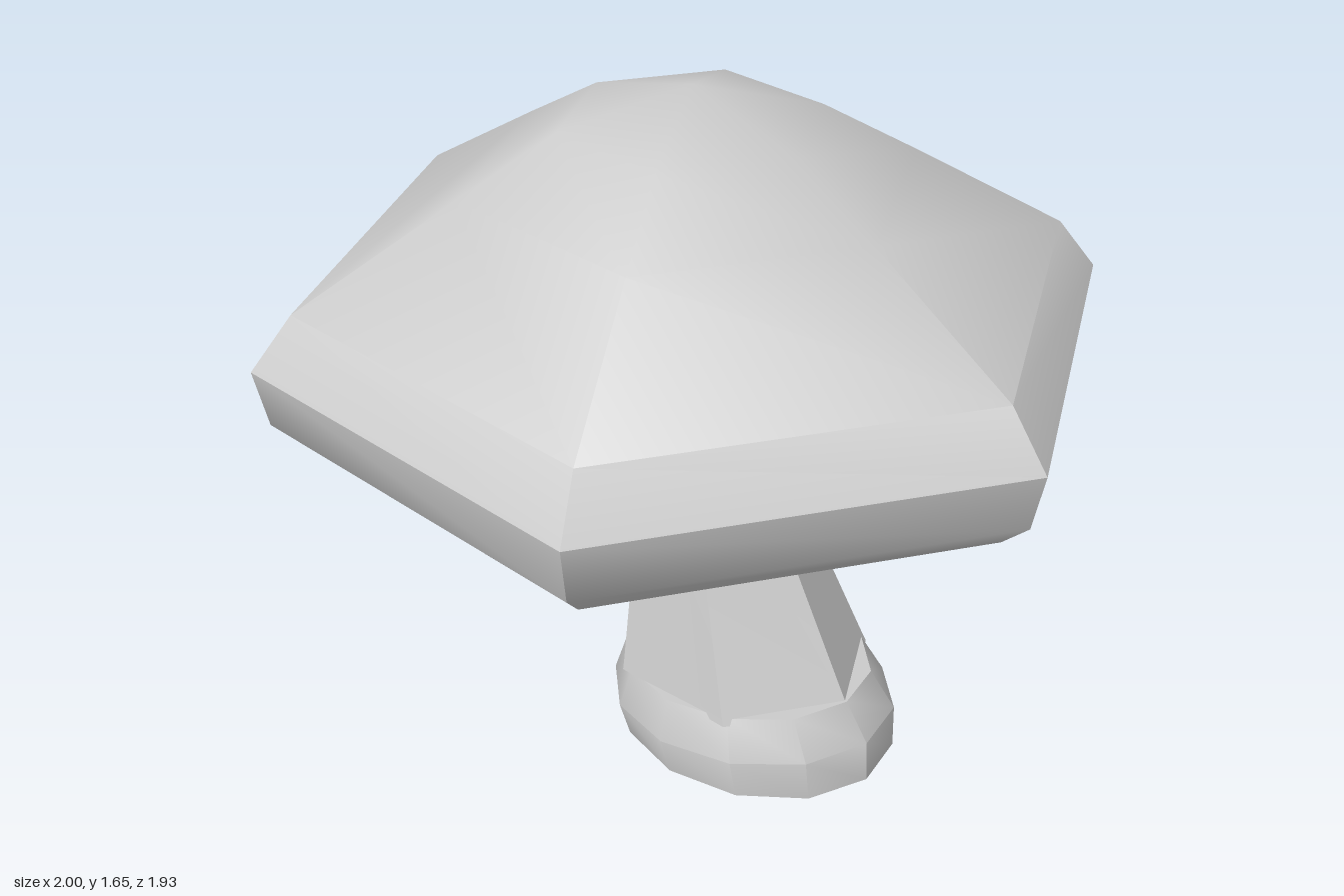
import * as THREE from 'three';
import { toCreasedNormals } from 'three/addons/utils/BufferGeometryUtils.js';

const material = new THREE.MeshStandardMaterial({ color: 0xcccccc });
const TURN = THREE.MathUtils.degToRad(78.7); // shared rotation of the hexagons

// Faceted turned part from [radius, height] pairs (bottom to top), with an optional vertex rule.
function turned(name, profile, sides, crease, rule) {
  const points = profile.map(([r, y]) => new THREE.Vector2(r, y));
  const geometry = new THREE.LatheGeometry(points, sides, TURN, Math.PI * 2);
  if (rule) {
    const p = geometry.attributes.position;
    const v = new THREE.Vector3();
    for (let i = 0; i < p.count; i++) {
      rule(v.fromBufferAttribute(p, i));
      p.setXYZ(i, v.x, v.y, v.z);
    }
  }
  const mesh = new THREE.Mesh(toCreasedNormals(geometry, crease), material);
  mesh.name = name;
  return mesh;
}

// The foot sits off to one side, so the stalk leans back to the axis as it rises.
function lean(v) {
  const t = Math.max(0, 1 - v.y / 0.97);
  v.x += 0.21 * t;
  v.z = v.z * (1 - 0.17 * t) + 0.02 * t;
}

export function createModel() {
  const group = new THREE.Group();
  group.name = 'mushroom';

  // Hexagonal cap: hollow underside, lip, rim, sloping roof, shallow peak
  group.add(turned('cap', [
    [0, 1.4], [0.23, 1.32], [0.88, 0.875], [0.92, 0.875], [0.99, 0.94], [1.02, 1.08],
    [0.92, 1.21], [0.54, 1.44], [0.31, 1.575], [0, 1.655],
  ], 6, 0.6));

  // Leaning hexagonal stalk
  group.add(turned('stem', [[0.337, 0.18], [0.33, 0.2], [0.128, 0.875], [0.115, 0.92]], 6, 0.5, lean));

  // Collar and flared neck hidden under the cap
  group.add(turned('collar', [
    [0.115, 0.885], [0.215, 1.02], [0.215, 1.07], [0.12, 1.1], [0.23, 1.22], [0.23, 1.4],
  ], 6, 0.5));

  // Bulbous foot with a slightly tilted shoulder
  group.add(turned('foot', [
    [0, 0], [0.357, 0], [0.37, 0.093], [0.322, 0.19], [0, 0.19],
  ], 12, 0.6, (v) => {
    const raised = v.y > 0.01 ? 1 : 0;
    const x = v.x;
    v.x += 0.21 - 0.17 * v.y;
    v.z = v.z * 0.84 + 0.02;
    v.y += raised * 0.05 * x;
  }));

  return group;
}
